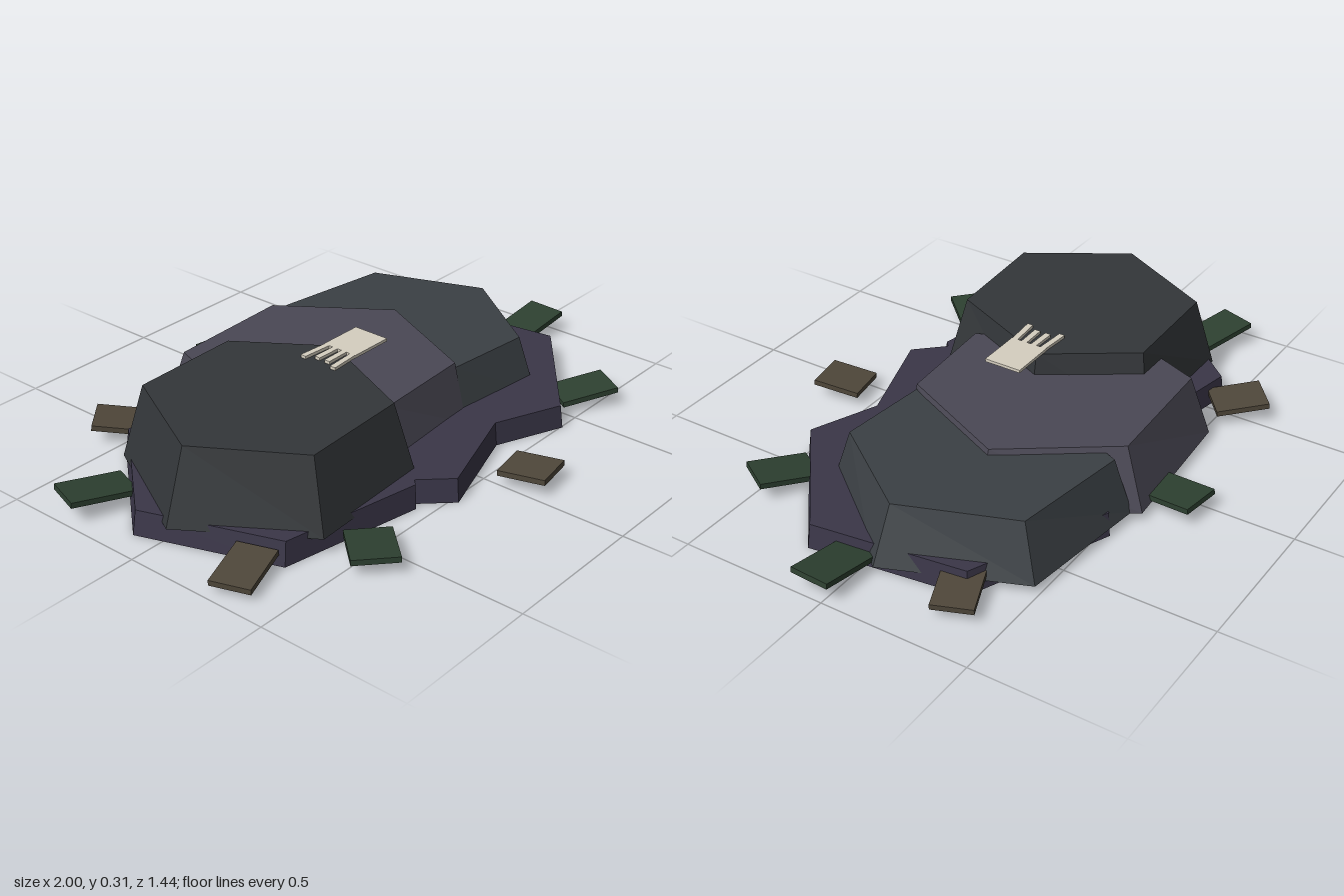
import * as THREE from 'three';

const mat = (color) => new THREE.MeshStandardMaterial({ color, flatShading: true, roughness: 0.9 });
const MATS = {
  base: mat(0x3a3648), tall: mat(0x333639), middle: mat(0x4a4854), low: mat(0x3b4044),
  moss: mat(0x2d4030), bark: mat(0x4f473a), bone: mat(0xd6cfc0),
};

// Prism between a lower outline and an upper outline, both lists of [x, z]
function stone(name, material, lower, upper, y0, y1) {
  const shape = new THREE.Shape(lower.map(([x, z]) => new THREE.Vector2(x, -z)));
  const geo = new THREE.ExtrudeGeometry(shape, { depth: y1 - y0, bevelEnabled: false });
  geo.rotateX(-Math.PI / 2);
  geo.translate(0, y0, 0);
  const pos = geo.attributes.position;
  for (let i = 0; i < pos.count; i++) {
    if (pos.getY(i) < (y0 + y1) / 2) continue;
    const k = lower.findIndex(([x, z]) => Math.hypot(x - pos.getX(i), z - pos.getZ(i)) < 1e-4);
    pos.setX(i, upper[k][0]);
    pos.setZ(i, upper[k][1]);
  }
  geo.computeVertexNormals();
  const mesh = new THREE.Mesh(geo, material);
  mesh.name = name;
  return mesh;
}

function box(name, material, size, position) {
  const mesh = new THREE.Mesh(new THREE.BoxGeometry(...size), material);
  mesh.name = name;
  mesh.position.set(...position);
  return mesh;
}

export function createModel() {
  const model = new THREE.Group();
  model.name = 'rockPile';

  // Jagged base slab
  const rim = [
    [-0.91, -0.09], [-0.75, 0.36], [-0.27, 0.45], [-0.25, 0.43], [-0.16, 0.525], [0.19, 0.41],
    [0.42, 0.505], [0.82, 0.19], [0.75, -0.33], [0.285, -0.53], [0.18, -0.44], [0.08, -0.52],
    [-0.33, -0.41], [-0.59, -0.46],
  ];
  const rimTop = rim.map(([x, z]) => [x * 0.985, z * 0.985]);
  model.add(stone('baseSlab', MATS.base, rim, rimTop, 0, 0.08));

  // Three stacked, tapered stones
  model.add(stone('tallStone', MATS.tall,
    [[-0.89, 0.03], [-0.64, 0.41], [-0.19, 0.385], [-0.02, -0.05], [-0.22, -0.37], [-0.68, -0.37]],
    [[-0.81, 0.03], [-0.61, 0.35], [-0.23, 0.33], [-0.06, -0.05], [-0.25, -0.33], [-0.63, -0.32]],
    0.06, 0.3));
  model.add(stone('middleStone', MATS.middle,
    [[-0.42, -0.32], [-0.17, 0.31], [0.2, 0.28], [0.44, -0.16], [0.17, -0.575], [-0.33, -0.54]],
    [[-0.37, -0.3], [-0.16, 0.25], [0.2, 0.23], [0.38, -0.16], [0.14, -0.5], [-0.3, -0.48]],
    0.03, 0.23));
  model.add(stone('lowStone', MATS.low,
    [[-0.02, -0.12], [0.2, 0.28], [0.53, 0.315], [0.82, -0.05], [0.64, -0.49], [0.18, -0.545]],
    [[0.04, -0.12], [0.2, 0.23], [0.51, 0.26], [0.74, -0.06], [0.6, -0.43], [0.2, -0.49]],
    0.03, 0.212));

  // Flat chips scattered round the base: x, y, z, length, width, outward direction (dx, dz), tilt
  const chips = [
    ['moss', 0.89, 0.055, 0.035, 0.22, 0.135, 40, 2, 0.15],
    ['moss', 0.605, 0.05, 0.455, 0.195, 0.135, 31, 19, 0.12],
    ['bark', 0.075, 0.05, 0.62, 0.16, 0.14, 5, 30, 0.08],
    ['moss', -0.56, 0.045, 0.52, 0.175, 0.145, -22, 24, 0.06],
    ['bark', -0.865, 0.038, 0.31, 0.19, 0.13, -35, 12, -0.07],
    ['moss', -0.87, 0.06, -0.285, 0.215, 0.13, -39, -13, 0.1],
    ['bark', -0.525, 0.055, -0.545, 0.175, 0.145, -21, -25, 0.1],
    ['moss', 0.045, 0.05, -0.625, 0.18, 0.14, 4, -28, 0.1],
    ['bark', 0.785, 0.045, -0.325, 0.17, 0.13, 30, -12, -0.05],
  ];
  for (const [kind, x, y, z, length, width, dx, dz, tilt] of chips) {
    const chip = box(kind + 'Chip', MATS[kind], [length, 0.018, width], [x, y, z]);
    chip.rotation.set(0, Math.atan2(-dz, dx), tilt);
    model.add(chip);
  }

  // Flat bone hand lying on the tall stone
  const hand = new THREE.Group();
  hand.name = 'boneHand';
  hand.add(box('palm', MATS.bone, [0.155, 0.01, 0.128], [-0.01, 0.307, -0.005]));
  for (let i = 0; i < 4; i++) {
    const t = i - 1.5;
    const length = Math.abs(t) > 1 ? 0.12 : 0.1;
    const finger = box('finger', MATS.bone, [length, 0.01, 0.02], [-0.07 - length / 2, 0.307, -0.005 + t * 0.037]);
    finger.rotation.y = t * 0.05;
    hand.add(finger);
  }
  model.add(hand);
  return model;
}
